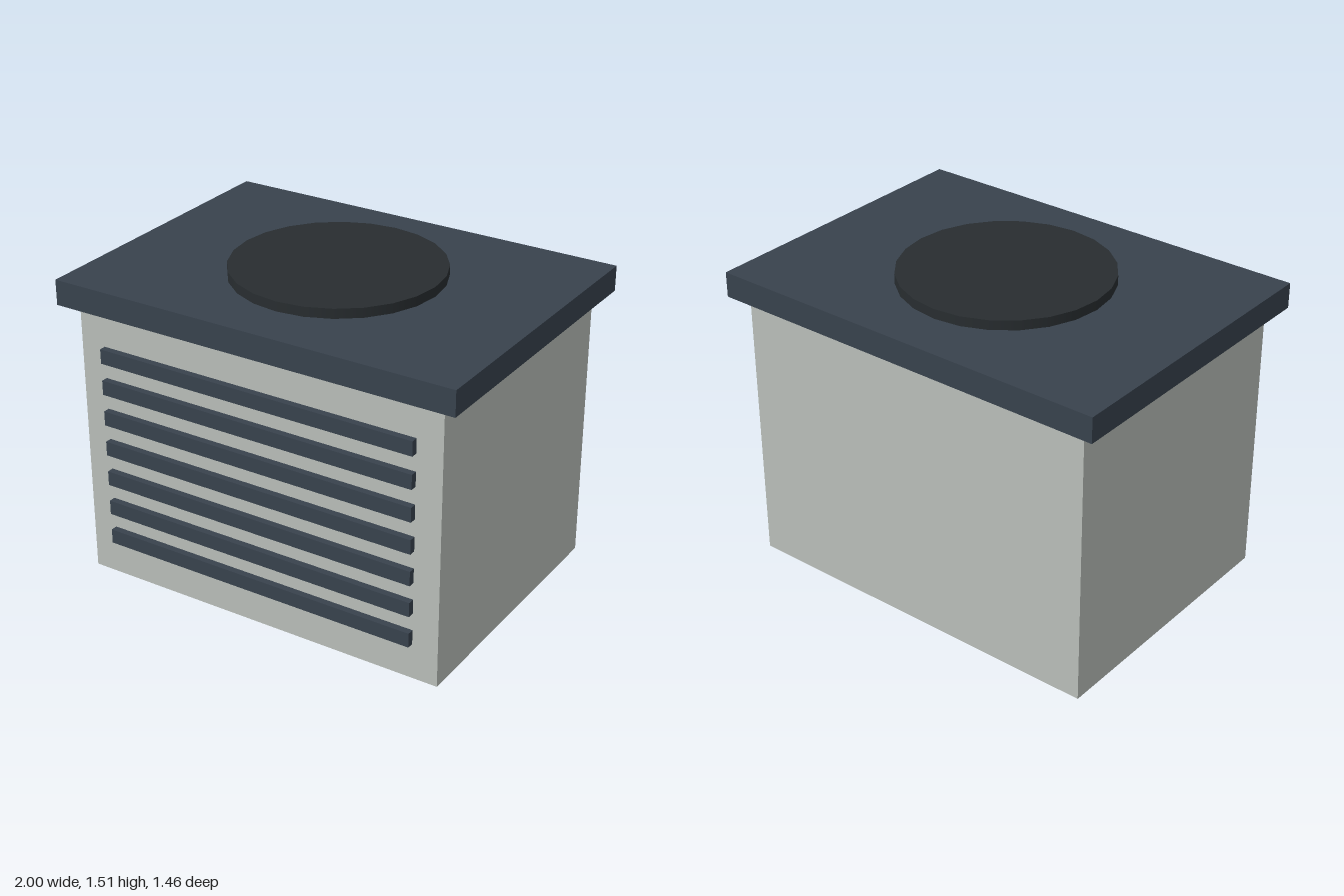
import * as THREE from 'three';

export function createModel() {
  const group = new THREE.Group();
  const shell = new THREE.MeshStandardMaterial({ color: 0xb9beb9 });
  const trim = new THREE.MeshStandardMaterial({ color: 0x38424d });
  const dark = new THREE.MeshStandardMaterial({ color: 0x282d30 });

  const add = (name, geometry, material, x, y, z) => {
    const mesh = new THREE.Mesh(geometry, material);
    mesh.name = name;
    mesh.position.set(x, y, z);
    group.add(mesh);
  };

  // Cabinet and overhanging lid
  add('cabinet', new THREE.BoxGeometry(1.84, 1.34, 1.335), shell, 0, 0.67, 0);
  add('lid', new THREE.BoxGeometry(2, 0.12, 1.455), trim, 0, 1.4, 0);

  // Round fan cover on the lid
  add('fanCover', new THREE.CylinderGeometry(0.49, 0.49, 0.1, 24), dark, 0, 1.456, 0);

  // Seven horizontal louvre slats on the front
  const slat = new THREE.BoxGeometry(1.59, 0.07, 0.06);
  for (let i = 0; i < 7; i++) {
    add(`louvreSlat${i + 1}`, slat, trim, 0, 0.209 + i * 0.1535, 0.67);
  }
  return group;
}
